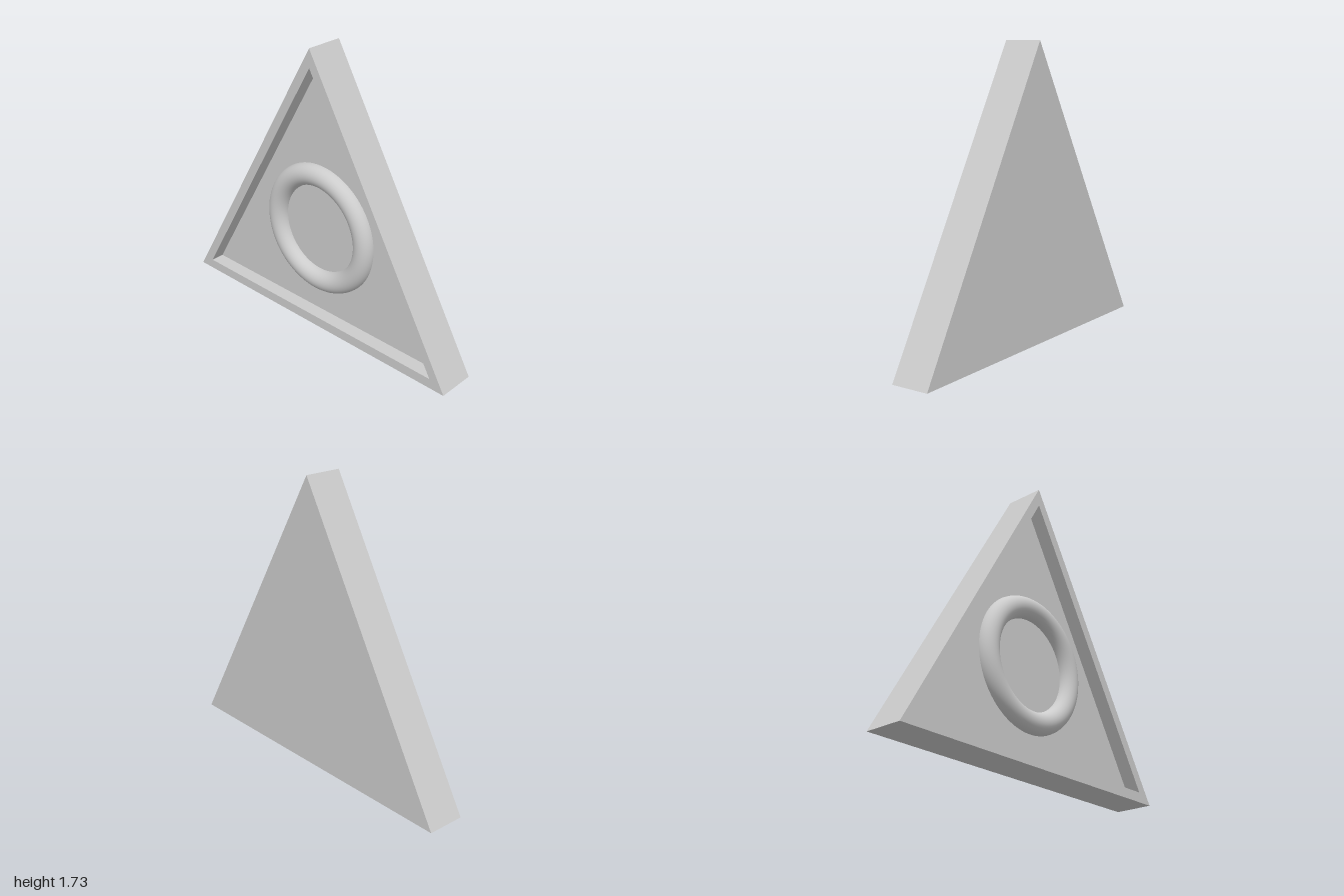
import * as THREE from 'three';

const HALF_DEPTH = 0.115;
const FLOOR_Z = 0.03; // recessed panel surface

// Upright triangle outline: half width, base height, apex height
function triangle(Type, halfWidth, base, apex) {
  const t = new Type();
  t.moveTo(-halfWidth, base);
  t.lineTo(halfWidth, base);
  t.lineTo(0, apex);
  t.closePath();
  return t;
}

export function createModel() {
  const group = new THREE.Group();
  group.name = 'triangularPlaque';
  const material = new THREE.MeshStandardMaterial({ color: 0xcccccc });

  const addPart = (name, geometry, x, y, z) => {
    const mesh = new THREE.Mesh(geometry, material);
    mesh.name = name;
    mesh.position.set(x, y, z);
    group.add(mesh);
  };
  const extrude = (shape, depth) =>
    new THREE.ExtrudeGeometry(shape, { depth, bevelEnabled: false });

  // Solid back, whose front face is the floor of the recess
  const outline = triangle(THREE.Shape, 1, 0, 1.73);
  addPart('backPanel', extrude(outline, FLOOR_Z + HALF_DEPTH), 0, 0, -HALF_DEPTH);

  // Raised rim around the recess
  const rim = triangle(THREE.Shape, 1, 0, 1.73);
  rim.holes.push(triangle(THREE.Path, 0.9, 0.06, 1.62));
  addPart('raisedRim', extrude(rim, HALF_DEPTH - FLOOR_Z), 0, 0, FLOOR_Z);

  // Ring half sunk into the floor
  addPart('ring', new THREE.TorusGeometry(0.338, 0.066, 32, 96), 0.003, 0.615, FLOOR_Z);

  return group;
}
